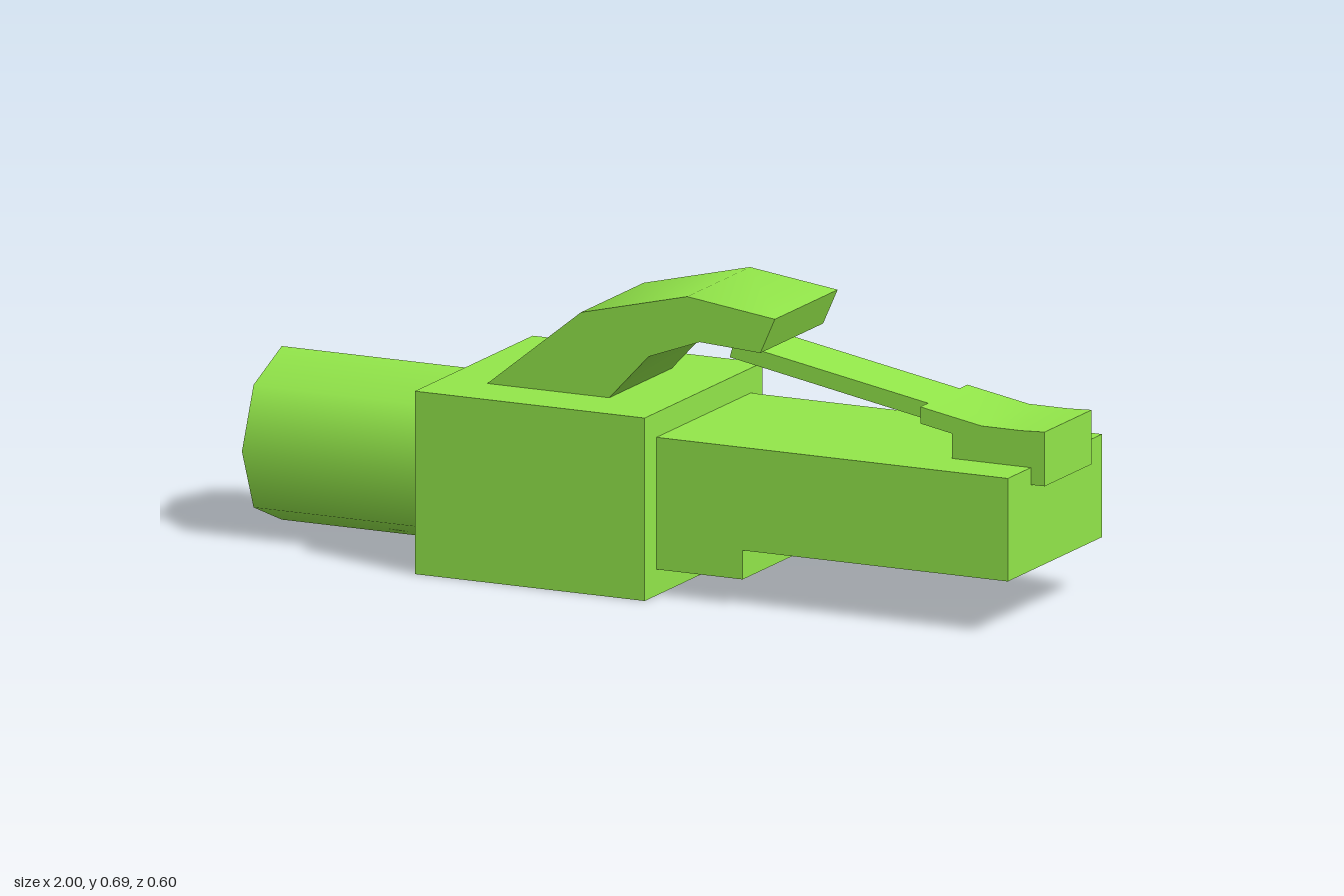
import * as THREE from 'three';
import { toCreasedNormals } from 'three/addons/utils/BufferGeometryUtils.js';

export function createModel() {
  const model = new THREE.Group();
  model.name = 'cablePlug';
  const green = new THREE.MeshStandardMaterial({ color: 0x93e74a });
  green.name = 'bright green plastic';

  const add = (name, geometry) => {
    const mesh = new THREE.Mesh(geometry, green);
    mesh.name = name;
    model.add(mesh);
    return mesh;
  };

  // Side profile in x and y, extruded across the width and centred on z
  const profile = (name, points, width, z = 0) => {
    const shape = new THREE.Shape(points.map(([x, y]) => new THREE.Vector2(x, y)));
    const geometry = new THREE.ExtrudeGeometry(shape, { depth: width, bevelEnabled: false });
    geometry.translate(0, 0, z - width / 2);
    return add(name, toCreasedNormals(geometry, 0.6));
  };

  // Eight-sided cable with smooth sides, one corner straight up
  const cable = new THREE.CylinderGeometry(0.203, 0.203, 0.488, 8);
  cable.rotateZ(Math.PI / 2);
  add('cable', cable).position.set(-0.756, 0.213, 0);

  // Boot block
  add('boot', new THREE.BoxGeometry(0.584, 0.428, 0.6)).position.set(-0.22, 0.214, 0);

  // Plug body with the stepped underside
  profile('plugBody', [
    [0.072, 0.061], [0.291, 0.061], [0.291, 0.129], [0.965, 0.129], [0.965, 0.37], [0.072, 0.37],
  ], 0.48);

  // Curved guard over the latch
  profile('latchGuard', [
    [-0.398, 0.428], [-0.088, 0.428], [0.012, 0.535], [0.142, 0.583],
    [0.296, 0.574], [0.333, 0.657], [0.11, 0.686], [-0.16, 0.62],
  ], 0.32);

  // Narrow springy latch arm
  profile('latchArm', [
    [0.18, 0.535], [0.684, 0.443], [0.684, 0.482], [0.19, 0.571],
  ], 0.16, 0.003);

  // Wide latch root, hooked over the nose of the plug
  profile('latchRoot', [
    [0.684, 0.443], [0.765, 0.428], [0.765, 0.37], [0.965, 0.37], [0.965, 0.33],
    [1, 0.33], [1, 0.457], [0.94, 0.454], [0.84, 0.454], [0.684, 0.482],
  ], 0.24, 0.003);

  return model;
}
